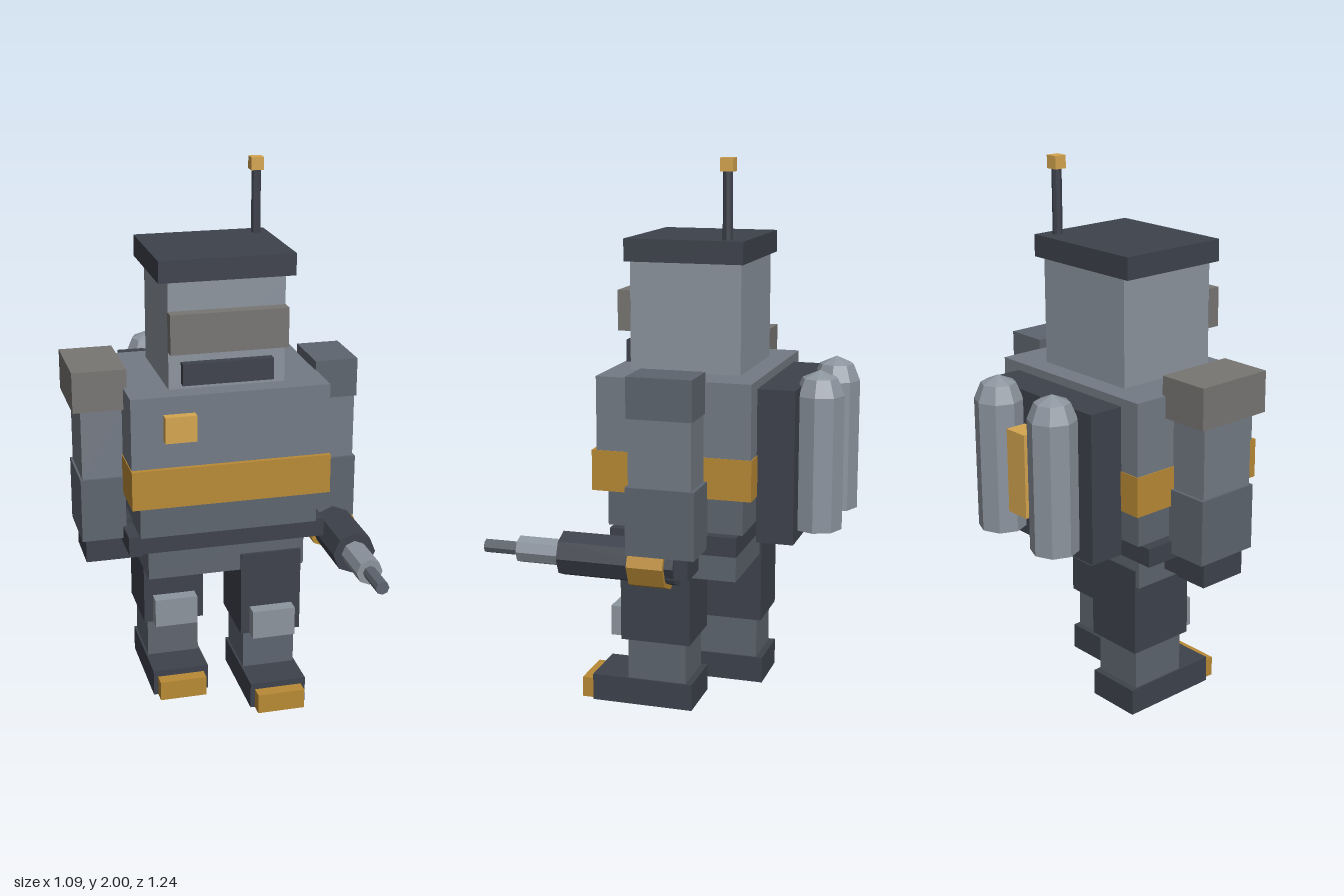
import * as THREE from 'three';

const mat = (color) => new THREE.MeshStandardMaterial({ color, flatShading: true });
const M = {
  dark: mat(0x3e424c), mid: mat(0x5e656f), steel: mat(0x747b85), light: mat(0x8c949e),
  gold: mat(0xb98a35), brightGold: mat(0xd6a650), grey: mat(0x787673),
};

export function createModel() {
  const root = new THREE.Group();

  const add = (parent, name, geo, material) => {
    const mesh = new THREE.Mesh(geo, material);
    mesh.name = name;
    parent.add(mesh);
    return mesh;
  };
  const group = (name, parent = root) => {
    const g = new THREE.Group();
    g.name = name;
    parent.add(g);
    return g;
  };
  // Box given by its extents on each axis
  const box = (parent, name, material, [x0, x1], [y0, y1], [z0, z1]) => {
    const m = add(parent, name, new THREE.BoxGeometry(x1 - x0, y1 - y0, z1 - z0), material);
    m.position.set((x0 + x1) / 2, (y0 + y1) / 2, (z0 + z1) / 2);
    return m;
  };

  // Head
  const head = group('head');
  box(head, 'skull', M.light, [-0.21, 0.217], [1.25, 1.64], [-0.265, 0.14]);
  box(head, 'cap', M.dark, [-0.245, 0.252], [1.64, 1.72], [-0.28, 0.152]);
  box(head, 'visor', M.grey, [-0.212, 0.218], [1.39, 1.535], [0.14, 0.187]);
  box(head, 'mouthGrille', M.dark, [-0.165, 0.168], [1.27, 1.35], [0.14, 0.173]);
  const mast = add(head, 'antennaMast', new THREE.CylinderGeometry(0.018, 0.018, 0.24, 8), M.dark);
  mast.position.set(0.204, 1.84, -0.212);
  box(head, 'antennaTip', M.brightGold, [0.18, 0.227], [1.953, 2], [-0.236, -0.189]);

  // Trunk
  const trunk = group('trunk');
  box(trunk, 'chest', M.steel, [-0.364, 0.367], [0.84, 1.25], [-0.343, 0.218]);
  box(trunk, 'chestBand', M.gold, [-0.367, 0.37], [0.838, 0.985], [-0.346, 0.236]);
  box(trunk, 'chestBadge', M.brightGold, [-0.247, -0.132], [1.088, 1.185], [0.21, 0.252]);
  box(trunk, 'abdomen', M.mid, [-0.33, 0.335], [0.705, 0.84], [-0.308, 0.188]);
  box(trunk, 'belt', M.dark, [-0.37, 0.373], [0.635, 0.705], [-0.295, 0.17]);
  box(trunk, 'pelvis', M.mid, [-0.295, 0.3], [0.52, 0.635], [-0.275, 0.15]);
  box(trunk, 'holster', M.dark, [-0.376, -0.295], [0.56, 0.718], [-0.15, 0.03]);

  // Backpack with two domed tanks and a power cell
  const pack = group('backpack');
  box(pack, 'packPlate', M.dark, [-0.28, 0.284], [0.67, 1.22], [-0.477, -0.343]);
  box(pack, 'powerCell', M.brightGold, [-0.045, 0.052], [0.8, 1.11], [-0.58, -0.5]);
  const tankProfile = [[0, 0.705], [0.088, 0.705], [0.088, 1.187], [0.063, 1.247], [0, 1.275]]
    .map(([r, y]) => new THREE.Vector2(r, y));
  for (const [name, x] of [['leftTank', 0.152], ['rightTank', -0.147]]) {
    const tank = add(pack, name, new THREE.LatheGeometry(tankProfile, 8), M.light);
    tank.position.set(x, 0, -0.535);
  }

  // Arms
  for (const side of [1, -1]) {
    const arm = group(side > 0 ? 'leftArm' : 'rightArm');
    const span = (a, b) => (side > 0 ? [a + 0.002, b + 0.002] : [-b + 0.002, -a + 0.002]);
    box(arm, 'upperArm', M.steel, span(0.366, 0.517), [0.9, 1.17], [-0.175, 0.05]);
    box(arm, 'forearm', M.mid, span(0.36, 0.525), [0.658, 0.9], [-0.188, 0.06]);
    if (side > 0) {
      box(arm, 'shoulderPad', M.mid, span(0.362, 0.524), [1.14, 1.285], [-0.18, 0.054]);
      box(arm, 'hand', M.dark, span(0.375, 0.508), [0.578, 0.658], [-0.16, 0.03]);
    } else {
      box(arm, 'shoulderPad', M.grey, span(0.352, 0.549), [1.17, 1.32], [-0.215, 0.085]);
      box(arm, 'hand', M.dark, span(0.375, 0.508), [0.56, 0.658], [-0.16, 0.03]);
    }
  }

  // Blaster in the left hand: stacked octagonal sections along z
  const blaster = group('blaster');
  blaster.position.set(0.444, 0.62, 0);
  for (const [name, material, r, z0, z1] of [
    ['blasterBody', M.dark, 0.081, -0.11, 0.318],
    ['blasterCollar', M.gold, 0.098, -0.078, 0.053],
    ['blasterBarrel', M.light, 0.049, 0.318, 0.485],
    ['blasterMuzzle', M.mid, 0.025, 0.485, 0.618],
  ]) {
    const part = add(blaster, name, new THREE.CylinderGeometry(r, r, z1 - z0, 8), material);
    part.rotation.x = Math.PI / 2;
    part.position.z = (z0 + z1) / 2;
  }

  // Legs in mid-stride, left one forward
  for (const [name, x, z] of [['leftLeg', 0.171, 0], ['rightLeg', -0.165, -0.182]]) {
    const leg = group(name);
    leg.position.set(x, 0, z);
    const w = (h) => [-h, h];
    box(leg, 'thigh', M.dark, w(0.116), [0.255, 0.585], [-0.1, 0.162]);
    box(leg, 'kneePad', M.light, w(0.082), [0.255, 0.367], [0.162, 0.212]);
    box(leg, 'shin', M.mid, w(0.1), [0.1, 0.255], [-0.08, 0.14]);
    box(leg, 'foot', M.dark, w(0.107), [0, 0.1], [-0.105, 0.278]);
    box(leg, 'toeCap', M.gold, w(0.09), [0, 0.076], [0.278, 0.326]);
  }

  return root;
}
